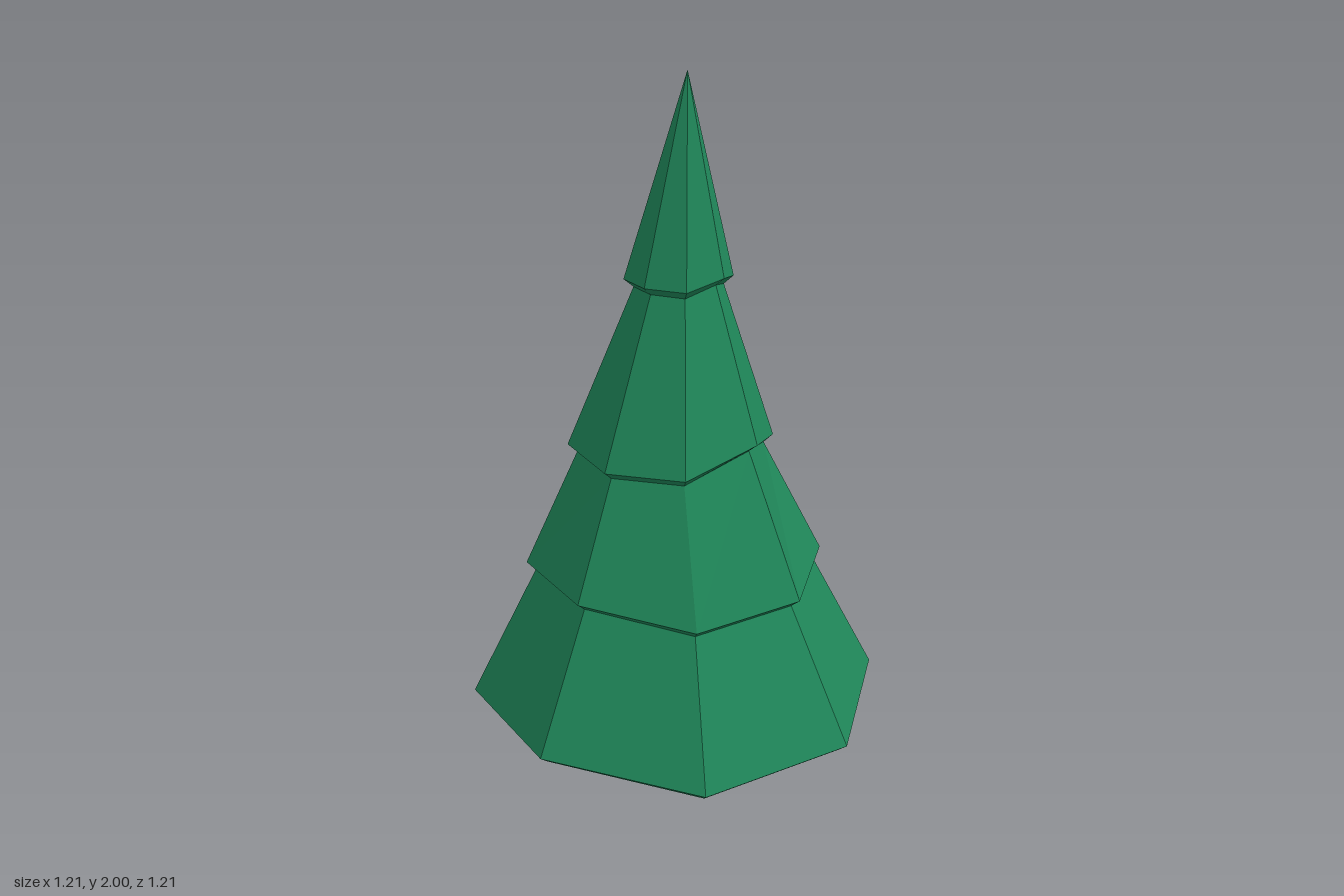
import * as THREE from 'three';

const SIDES = 8;

// Uneven octagonal ring; corners run from +x towards +z, each with its own height.
function ring(cx, cz, radius, heights) {
  return heights.map((y, k) => {
    const a = (k / SIDES) * Math.PI * 2;
    return new THREE.Vector3(cx + radius * Math.cos(a), y, cz + radius * Math.sin(a));
  });
}

// Skin a stack of rings, bottom to top, with separate triangles.
function skin(rings) {
  const points = [];
  for (let i = 0; i < rings.length - 1; i++) {
    const a = rings[i], b = rings[i + 1];
    for (let k = 0; k < SIDES; k++) {
      const n = (k + 1) % SIDES;
      if (!a[k].equals(a[n])) points.push(a[k], b[k], a[n]);
      if (!b[k].equals(b[n])) points.push(a[n], b[k], b[n]);
    }
  }
  const geometry = new THREE.BufferGeometry().setFromPoints(points);
  geometry.computeVertexNormals();
  return geometry;
}

export function createModel() {
  const group = new THREE.Group();
  const green = new THREE.MeshStandardMaterial({ color: 0x1f8659, flatShading: true });
  const brown = new THREE.MeshStandardMaterial({ color: 0x5f4a33, flatShading: true });

  // Skirt edge of each tier: centre, radius and corner heights
  const tiers = [
    { x: -0.007, z: -0.002, r: 0.603, y: [0.18, 0.213, 0.195, 0.19, 0.23, 0.205, 0.205, 0.207] },
    { x: -0.015, z: 0.003, r: 0.432, y: [0.65, 0.615, 0.6, 0.59, 0.63, 0.62, 0.63, 0.63] },
    { x: -0.025, z: -0.003, r: 0.293, y: [1.03, 0.98, 1.03, 0.97, 0.97, 0.98, 1.0, 1.0] },
    { x: -0.01, z: 0.012, r: 0.151, y: [1.475, 1.45, 1.47, 1.445, 1.45, 1.45, 1.46, 1.45] },
  ];

  // Foliage: underside, then a small tucked lip and skirt edge per tier, then the tip
  const point = (x, y, z) => Array.from({ length: SIDES }, () => new THREE.Vector3(x, y, z));
  const rings = [point(0, 0.18, 0)];
  for (const t of tiers) {
    rings.push(ring(t.x, t.z, t.r - 0.027, t.y.map((y) => y - 0.022)));
    rings.push(ring(t.x, t.z, t.r, t.y));
  }
  rings.push(point(0, 2, 0.032));
  const foliage = new THREE.Mesh(skin(rings), green);
  foliage.name = 'foliage';
  group.add(foliage);

  // Trunk: six-sided, flaring towards the ground
  const profile = [[0, 0], [0.081, 0], [0.064, 0.08], [0.053, 0.17], [0.05, 0.24]]
    .map(([r, y]) => new THREE.Vector2(r, y));
  const trunk = new THREE.Mesh(new THREE.LatheGeometry(profile, 6), brown);
  trunk.name = 'trunk';
  trunk.position.set(-0.015, 0, 0.003);
  group.add(trunk);

  return group;
}
